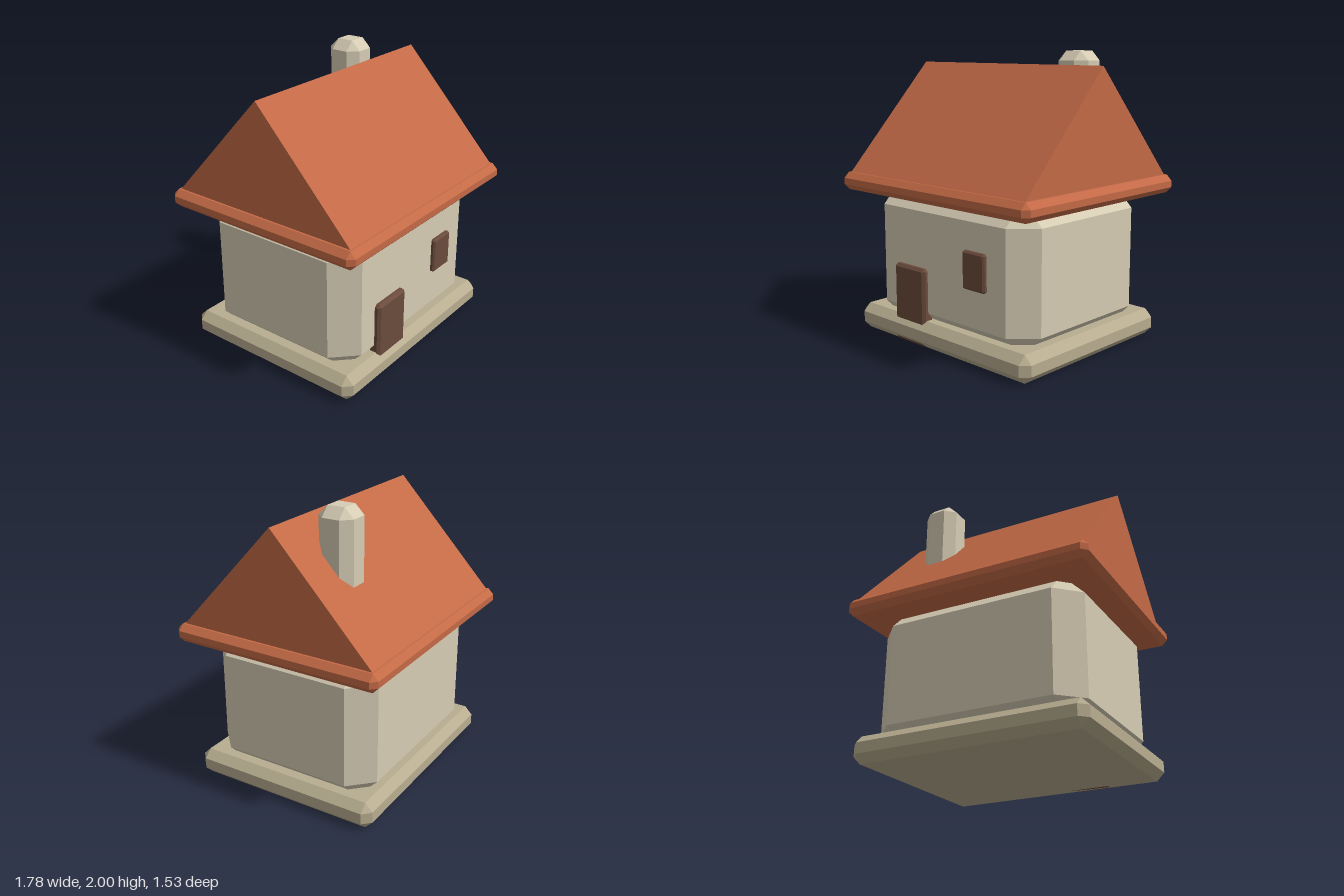
import * as THREE from 'three';
import { ConvexGeometry } from 'three/addons/geometries/ConvexGeometry.js';

const material = (name, color) => {
  const m = new THREE.MeshStandardMaterial({ color });
  m.name = name;
  return m;
};

// Box between two corners with every edge cut by a bevel of width c
function bevelledBox([x0, y0, z0], [x1, y1, z1], c) {
  const half = [(x1 - x0) / 2, (y1 - y0) / 2, (z1 - z0) / 2];
  const points = [];
  for (const sx of [-1, 1]) for (const sy of [-1, 1]) for (const sz of [-1, 1])
    for (let axis = 0; axis < 3; axis++) {
      const [x, y, z] = half.map((h, i) => (i === axis ? h : h - c));
      points.push(new THREE.Vector3(sx * x, sy * y, sz * z));
    }
  return new ConvexGeometry(points).translate((x0 + x1) / 2, (y0 + y1) / 2, (z0 + z1) / 2);
}

export function createModel() {
  const house = new THREE.Group();
  house.name = 'house';
  const plaster = material('plaster', 0xd6ccb4);
  const stone = material('stone', 0xb8ad90);
  const tile = material('roof tile', 0xc46a46);
  const wood = material('dark wood', 0x6b4b3c);

  const add = (name, geometry, mat) => {
    const mesh = new THREE.Mesh(geometry, mat);
    mesh.name = name;
    house.add(mesh);
  };

  // Plinth and body
  add('foundation', bevelledBox([-0.82, 0, -0.69], [0.82, 0.185, 0.69], 0.055), stone);
  add('walls', bevelledBox([-0.745, 0.08, -0.62], [0.745, 1.095, 0.62], 0.157), plaster);

  // Door and window
  add('door', bevelledBox([-0.445, 0, 0.57], [-0.14, 0.547, 0.66], 0.019), wood);
  add('window', bevelledBox([0.225, 0.495, 0.59], [0.425, 0.75, 0.65], 0.013), wood);

  // Eaves slab and gabled roof with its ridge along x
  add('eaves', bevelledBox([-0.89, 1.025, -0.765], [0.89, 1.15, 0.765], 0.04), tile);
  const gable = new THREE.Shape([
    new THREE.Vector2(-0.715, 1.148),
    new THREE.Vector2(0.715, 1.148),
    new THREE.Vector2(0, 1.91),
  ]);
  const roof = new THREE.ExtrudeGeometry(gable, { depth: 1.67, bevelEnabled: false });
  roof.translate(0, 0, -0.835).rotateY(Math.PI / 2);
  add('roof', roof, tile);

  // Chimney rising from the rear slope
  add('chimney', bevelledBox([0.308, 1.3, -0.381], [0.562, 2, -0.127], 0.066), plaster);

  return house;
}
